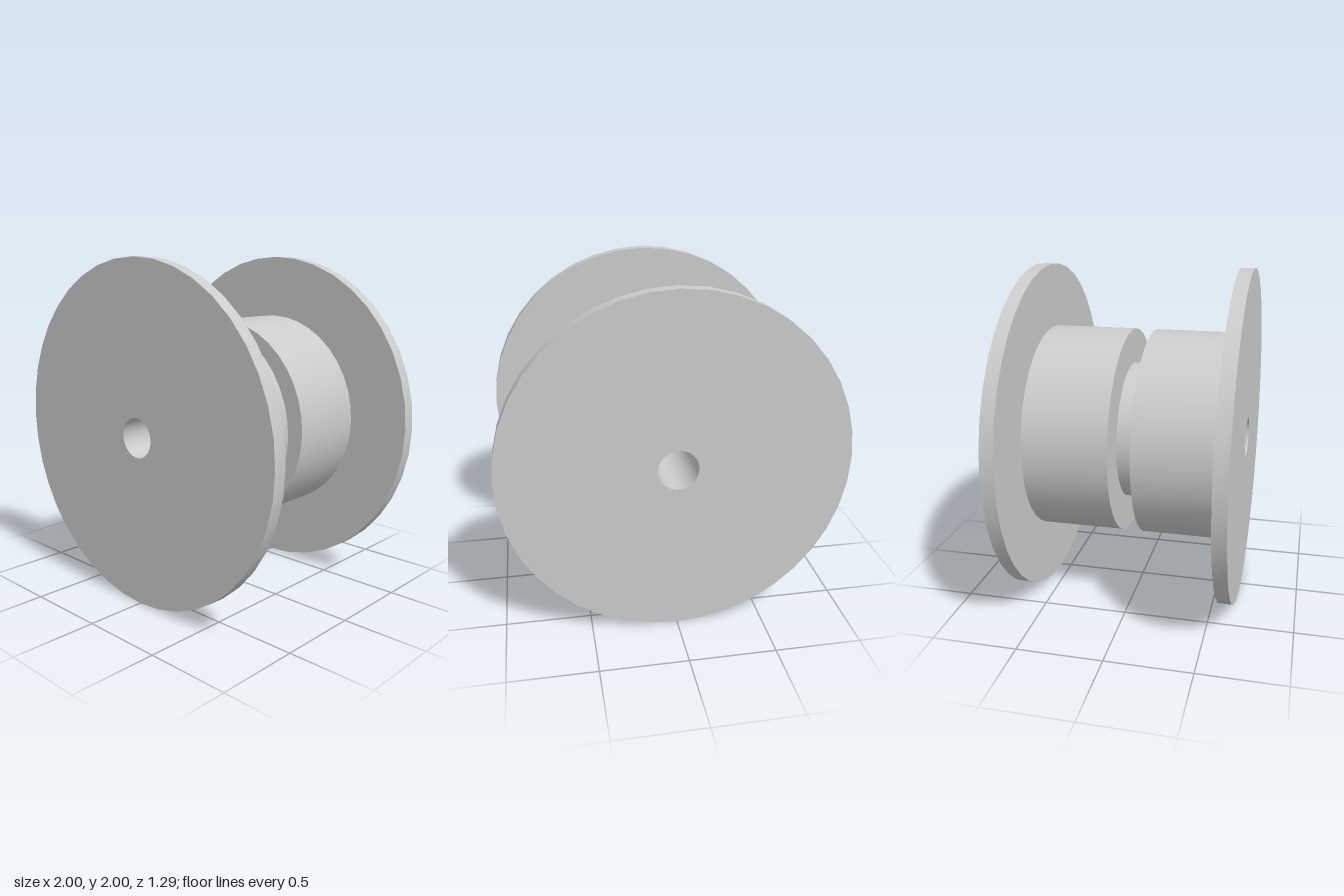
import * as THREE from 'three';
import { toCreasedNormals } from 'three/addons/utils/BufferGeometryUtils.js';

const SEGMENTS = 40;
const BORE = 0.116, CORE = 0.415, HUB = 0.623, FLANGE = 1;   // radii
const OUTER = 0.645, INNER = 0.565, GROOVE = 0.065;          // distances from the middle

export function createModel() {
  const group = new THREE.Group();
  group.name = 'spool';
  const material = new THREE.MeshStandardMaterial({ color: 0xcccccc });

  // Turns a [radius, z] profile around the z axis, keeping corners sharp.
  function turned(name, profile) {
    const points = profile.map(([r, z]) => new THREE.Vector2(r, z));
    const lathe = new THREE.LatheGeometry(points, SEGMENTS);
    lathe.rotateX(Math.PI / 2);
    const mesh = new THREE.Mesh(toCreasedNormals(lathe, Math.PI / 6), material);
    mesh.name = name;
    mesh.position.y = FLANGE;
    group.add(mesh);
  }
  const mirrored = (profile) => profile.map(([r, z]) => [r, -z]).reverse();

  // Wide end discs
  const flange = [[BORE, -OUTER], [FLANGE, -OUTER], [FLANGE, -INNER], [HUB, -INNER]];
  turned('backFlange', flange);
  turned('frontFlange', mirrored(flange));

  // Drum halves, each with its groove wall
  const hub = [[HUB, -INNER], [HUB, -GROOVE], [CORE, -GROOVE]];
  turned('backHub', hub);
  turned('frontHub', mirrored(hub));

  // Narrow core in the groove, and the axle hole through everything
  turned('core', [[CORE, -GROOVE], [CORE, GROOVE]]);
  turned('axleHole', [[BORE, OUTER], [BORE, -OUTER]]);

  return group;
}
